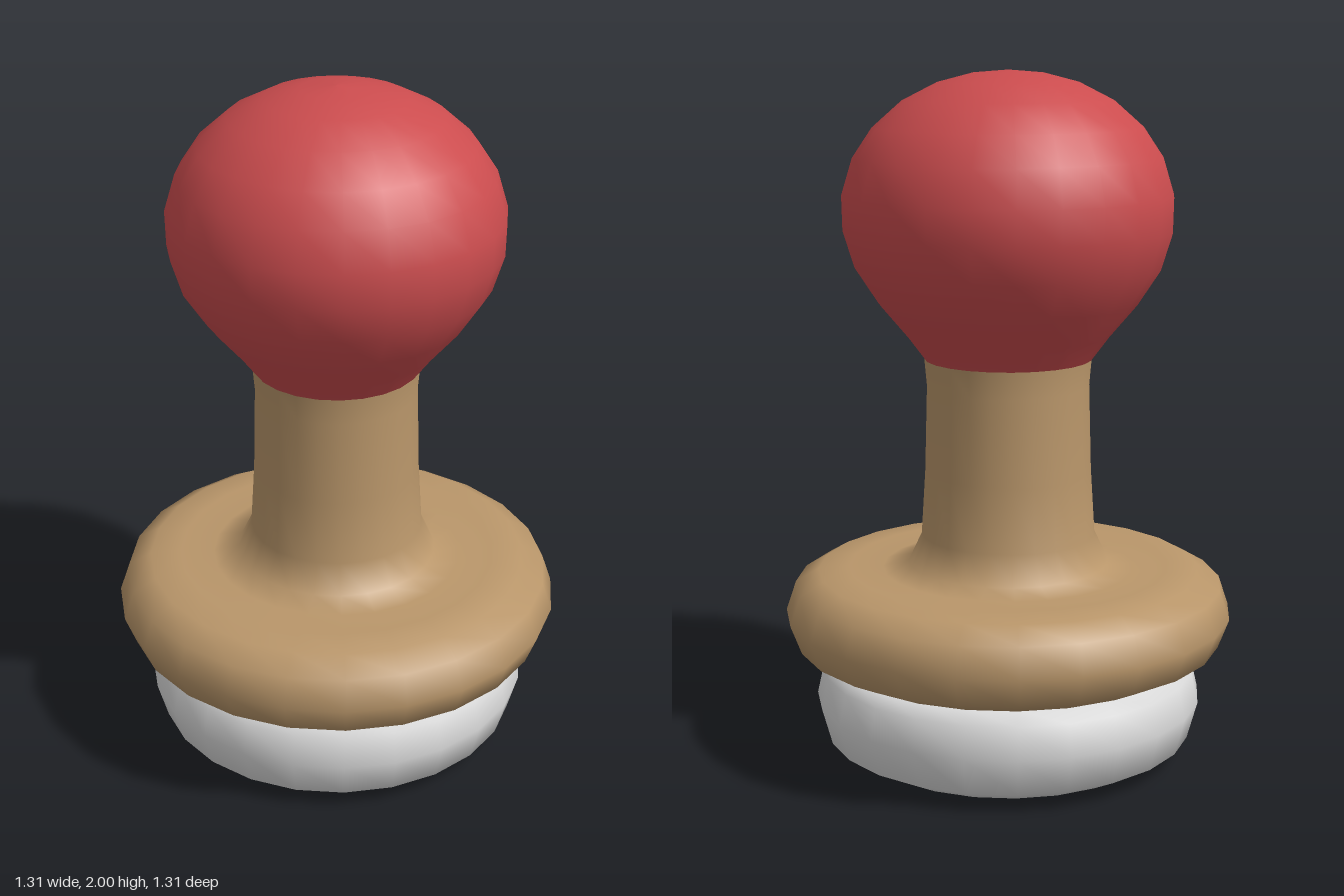
import * as THREE from 'three';

const material = (name, color) => {
  const m = new THREE.MeshStandardMaterial({ color });
  m.name = name;
  return m;
};

// Turned part: [radius, height] profile from bottom to top
function turned(name, profile, mat) {
  const points = profile.map(([r, y]) => new THREE.Vector2(r, y));
  const mesh = new THREE.Mesh(new THREE.LatheGeometry(points, 24), mat);
  mesh.name = name;
  return mesh;
}

export function createModel() {
  const red = material('red', 0xcb4c4e);
  const wood = material('wood', 0xb9966a);
  const white = material('white', 0xdcdcdc);

  const group = new THREE.Group();
  group.name = 'knobStamp';

  // Soft rounded pad at the bottom
  group.add(turned('pad', [
    [0, 0.004], [0.3, 0.004], [0.45, 0.012], [0.54, 0.06], [0.57, 0.17],
    [0.55, 0.26], [0.51, 0.295], [0.4, 0.305], [0, 0.305],
  ], white));

  // Round flange that flares into the stem
  group.add(turned('flangeAndStem', [
    [0, 0.3], [0.4, 0.3], [0.54, 0.303], [0.625, 0.345], [0.657, 0.43],
    [0.628, 0.515], [0.56, 0.555], [0.47, 0.562], [0.37, 0.558], [0.295, 0.575],
    [0.255, 0.66], [0.243, 0.85], [0.236, 1.1], [0.243, 1.18],
  ], wood));

  // Ball knob with a short neck
  group.add(turned('knob', [
    [0.243, 1.18], [0.295, 1.25], [0.375, 1.345], [0.44, 1.445], [0.472, 1.55],
    [0.474, 1.65], [0.442, 1.755], [0.385, 1.84], [0.3, 1.915], [0.2, 1.966],
    [0.1, 1.992], [0, 2],
  ], red));

  return group;
}
